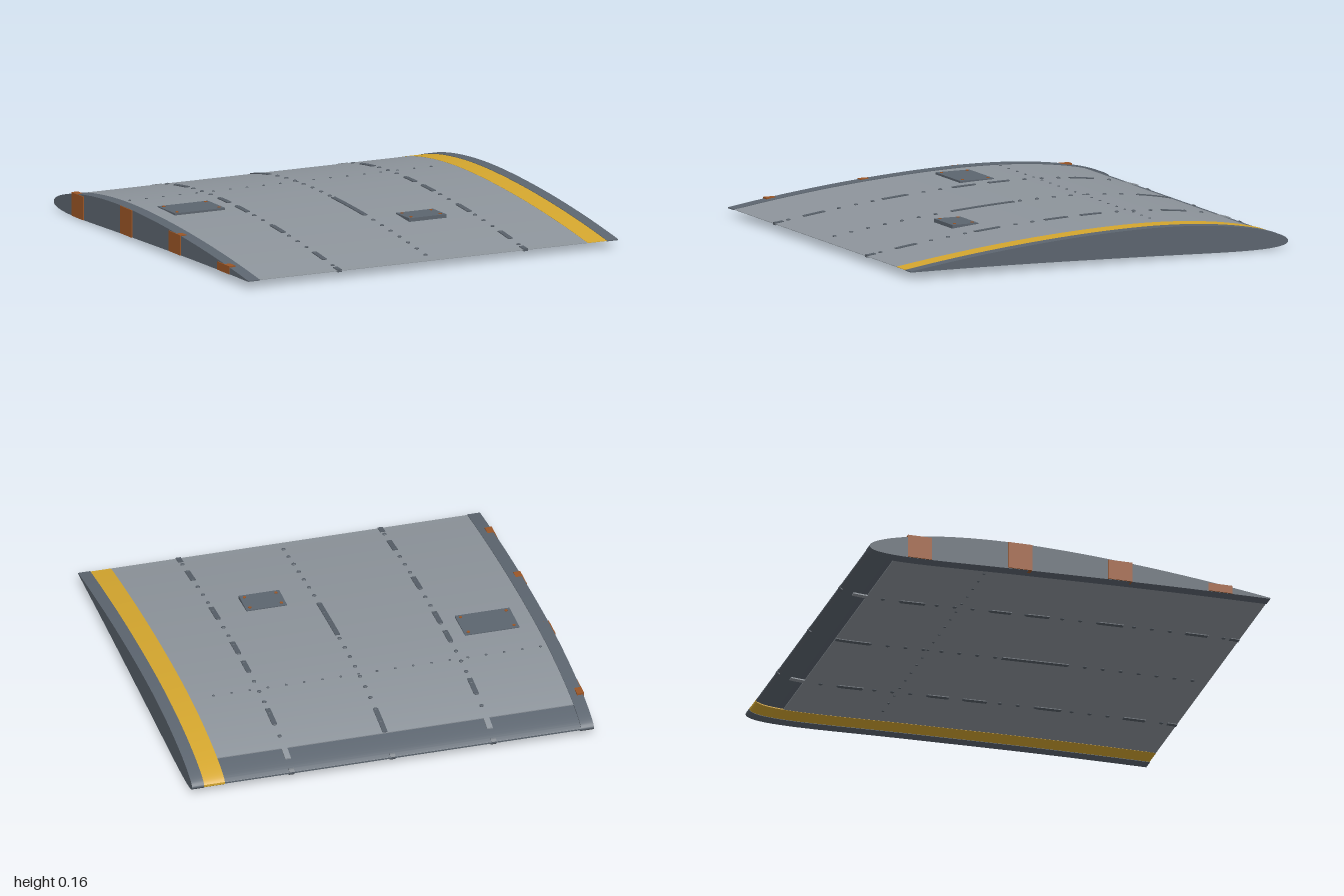
import * as THREE from 'three';
import { mergeGeometries, toCreasedNormals } from 'three/addons/utils/BufferGeometryUtils.js';

const mat = (name, color) => {
  const m = new THREE.MeshStandardMaterial({ color });
  m.name = name;
  return m;
};

// Cambered airfoil: nose at z = -1, trailing edge at z = +1
const BASE = 0.035, THICK = 0.068, CAMBER = 0.0235, PEAK = 0.4;
const midline = (z) => {
  const u = (z + 1) / 2;
  const c = u < PEAK
    ? (CAMBER / PEAK ** 2) * (2 * PEAK * u - u * u)
    : (CAMBER / (1 - PEAK) ** 2) * (1 - 2 * PEAK + 2 * PEAK * u - u * u);
  return BASE + 2 * c;
};
const half = (z) => {
  const u = Math.max(0, (z + 1) / 2);
  return 10 * THICK * (0.2969 * Math.sqrt(u) - 0.126 * u - 0.3516 * u ** 2 + 0.2843 * u ** 3 - 0.1015 * u ** 4);
};
// side +1 is the upper surface, -1 the lower; inset is limited where the wing is thin
const surface = (z, side, offset = 0) =>
  midline(z) + side * Math.max(half(z) + offset, half(z) * 0.6);

// Solid between two height functions over z0..z1, spanning x0..x1
function slab(x0, x1, z0, z1, upper, lower, n = 48) {
  const pts = [];
  const zAt = (i) => z0 + (z1 - z0) * (1 - Math.cos((Math.PI * i) / n)) / 2;
  for (let i = 0; i <= n; i++) pts.push(new THREE.Vector2(-zAt(i), upper(zAt(i))));
  for (let i = n; i >= 0; i--) {
    if (upper(zAt(i)) - lower(zAt(i)) > 1e-6) pts.push(new THREE.Vector2(-zAt(i), lower(zAt(i))));
  }
  const g = new THREE.ExtrudeGeometry(new THREE.Shape(pts), { depth: x1 - x0, bevelEnabled: false });
  g.rotateY(Math.PI / 2).translate(x0, 0, 0);
  return toCreasedNormals(g, 0.6);
}
const section = (x0, x1, z0, z1, offset) =>
  slab(x0, x1, z0, z1, (z) => surface(z, 1, offset), (z) => surface(z, -1, offset));

// Thin strip lying on the upper or lower surface
const strip = (x, w, z0, z1, side, proud) => {
  const a = (z) => surface(z, side, 0) + side * proud;
  const b = (z) => surface(z, side, 0) - side * 0.008;
  return slab(x - w / 2, x + w / 2, z0, z1, side > 0 ? a : b, side > 0 ? b : a, 8);
};

const rivet = (x, z, side, r) =>
  new THREE.SphereGeometry(r, 8, 6).scale(1, 0.5, 1).translate(x, surface(z, side, -0.001), z);

export function createModel() {
  const skin = mat('light grey skin', 0x8d949b);
  const frame = mat('dark grey frame', 0x5c656f);
  const yellow = mat('yellow stripe', 0xd4a62e);
  const rust = mat('rust brown', 0x9a5526);
  const rivets = mat('rivet grey', 0x565e67);

  const model = new THREE.Group();
  model.name = 'wingSection';
  const add = (name, geometry, material) => {
    const m = new THREE.Mesh(geometry, material);
    m.name = name;
    model.add(m);
  };

  // Wing body
  add('mainSkin', section(-0.935, 0.835, -0.862, 0.997, -0.002), skin);
  add('leadingEdge', section(-0.935, 0.835, -0.998, -0.86, -0.006), frame);
  add('rootRib', section(-0.995, -0.932, -1, 1, 0.001), frame);
  add('tipStripe', section(0.832, 0.937, -0.998, 0.998, -0.001), yellow);
  add('tipCap', section(0.935, 0.995, -1, 1, 0.001), frame);

  // Rib caps showing through the skin, with rivet rows
  const outer = [[-0.69, -0.57], [-0.24, -0.14], [-0.06, 0.05], [0.3, 0.42], [0.73, 0.84], [0.95, 0.997]];
  const inner = [[-0.86, -0.69], [-0.03, 0.3]];
  const caps = [], tabs = [], ribRivets = [], sparRivets = [];
  for (const side of [1, -1]) {
    for (const x of [-0.5, 0, 0.5]) {
      for (const [a, b] of x === 0 ? inner : outer) caps.push(strip(x, 0.025, a, b, side, 0.002));
      for (let i = 0; i < 20; i++) ribRivets.push(rivet(x, -0.78 + i * 0.0895, side, 0.011));
    }
    for (const x of [-0.5, 0.5]) tabs.push(strip(x, 0.028, -0.93, -0.86, side, 0));
    for (let i = 0; i < 19; i++) sparRivets.push(rivet(-0.9 + i * 0.09, -0.4, side, 0.007));
  }
  for (const x of [-0.5, 0, 0.5]) caps.push(section(x - 0.0125, x + 0.0125, -1, -0.985, 0.001));
  add('ribCaps', mergeGeometries(caps), rivets);
  add('leadingEdgeTabs', mergeGeometries(tabs), skin);
  add('ribRivets', mergeGeometries(ribRivets), rivets);
  add('sparRivets', mergeGeometries(sparRivets), rivets);

  // Flat access panels with corner bolts
  for (const [x, z, w, d, top, h] of [[-0.715, -0.12, 0.27, 0.18, 0.15, 0.015], [0.25, 0.397, 0.2, 0.138, 0.121, 0.02]]) {
    add('accessPanel', new THREE.BoxGeometry(w, h, d).translate(x, top - h / 2, z), frame);
    const bolts = [];
    for (const sx of [-1, 1]) for (const sz of [-1, 1]) {
      bolts.push(new THREE.CylinderGeometry(0.008, 0.008, 0.004, 8)
        .translate(x + sx * (w / 2 - 0.022), top + 0.001, z + sz * (d / 2 - 0.022)));
    }
    add('panelBolts', mergeGeometries(bolts), rust);
  }

  // Root attachment brackets
  for (const z of [-0.75, -0.25, 0.25, 0.75]) {
    const t = surface(z, 1), b = surface(z, -1);
    add('rootBracket', new THREE.BoxGeometry(0.035, t - b, 0.12).translate(-0.9825, (t + b) / 2, z), rust);
  }
  return model;
}
